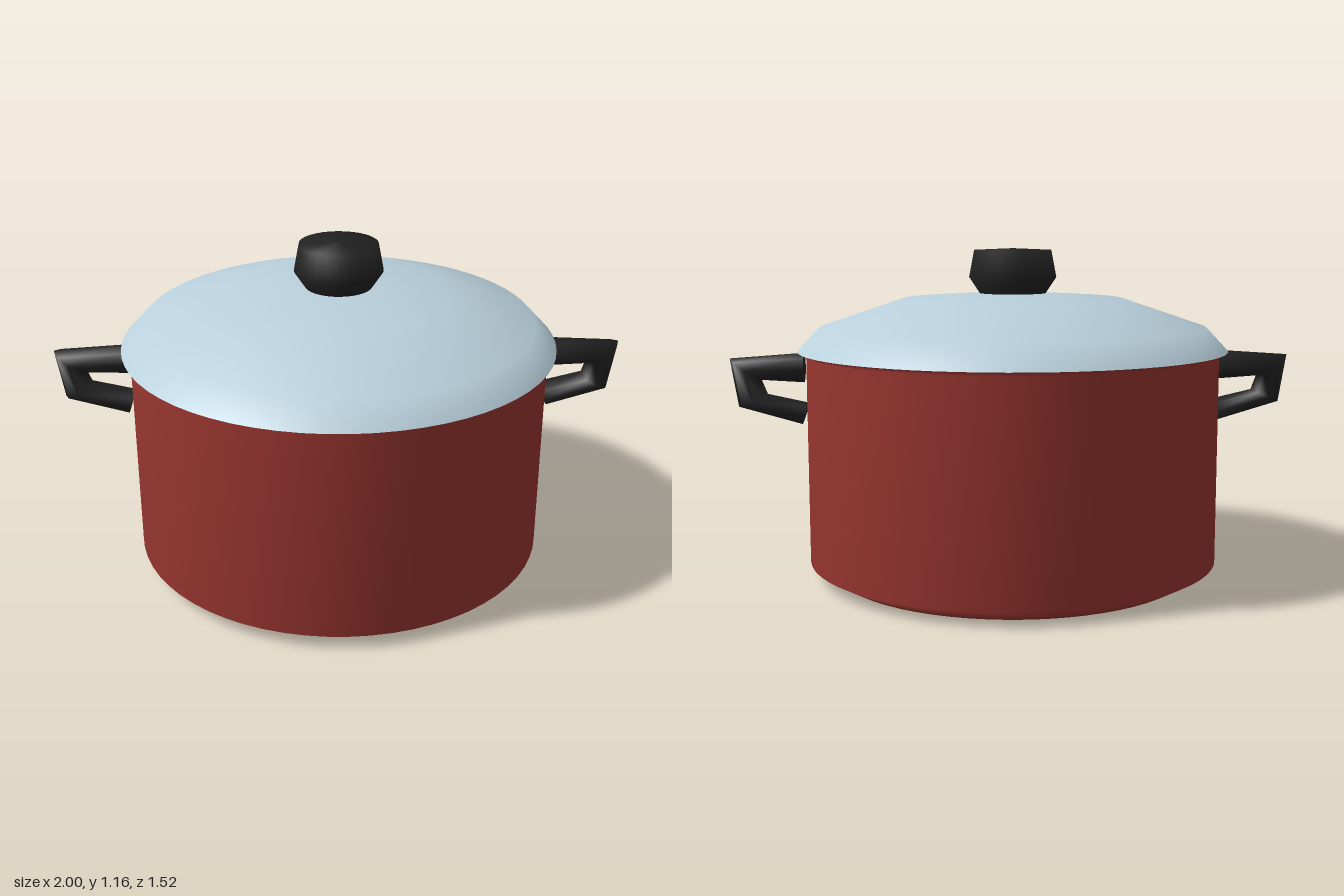
import * as THREE from 'three';

const red = new THREE.MeshStandardMaterial({ color: 0x9c3731 });
red.name = 'red enamel';
const pale = new THREE.MeshStandardMaterial({ color: 0xb9d0dc });
pale.name = 'pale blue metal';
const black = new THREE.MeshStandardMaterial({ color: 0x222222 });
black.name = 'black plastic';

// Round part from [radius, height] pairs, listed from bottom to top
function turned(name, profile, segments, material) {
  const points = profile.map(([r, y]) => new THREE.Vector2(r, y));
  const mesh = new THREE.Mesh(new THREE.LatheGeometry(points, segments), material);
  mesh.name = name;
  return mesh;
}

// Loop handle: oval rings spanning outer and inner edge points, joined in order
function handleGeometry() {
  const stations = [
    [0.74, 0.79, 0.74, 0.685],
    [1.0, 0.772, 0.89, 0.695],
    [0.972, 0.6, 0.87, 0.645],
    [0.75, 0.535, 0.725, 0.612],
  ];
  const sides = 8, halfWidth = 0.06;
  const positions = [], index = [];
  const addRing = ([ox, oy, ix, iy]) => {
    for (let j = 0; j < sides; j++) {
      const a = (j / sides) * Math.PI * 2, c = Math.cos(a) / 2;
      positions.push((ox + ix) / 2 + (ox - ix) * c, (oy + iy) / 2 + (oy - iy) * c, Math.sin(a) * halfWidth);
    }
  };
  stations.forEach(addRing);
  for (let i = 0; i < stations.length - 1; i++) {
    for (let j = 0; j < sides; j++) {
      const k = (j + 1) % sides;
      const a = i * sides + j, b = i * sides + k, c = a + sides, d = b + sides;
      index.push(a, b, c, b, d, c);
    }
  }
  // End caps on their own rings, so the ends stay crisp
  const start = positions.length / 3, end = start + sides;
  addRing(stations[0]);
  addRing(stations[stations.length - 1]);
  for (let j = 1; j < sides - 1; j++) {
    index.push(start, start + j + 1, start + j, end, end + j, end + j + 1);
  }
  const geometry = new THREE.BufferGeometry();
  geometry.setAttribute('position', new THREE.Float32BufferAttribute(positions, 3));
  geometry.setIndex(index);
  geometry.computeVertexNormals();
  return geometry;
}

export function createModel() {
  const group = new THREE.Group();
  group.name = 'cookingPot';

  // Body with bevelled base and flared rim
  group.add(turned('potBody', [[0, 0], [0.64, 0], [0.73, 0.05], [0.73, 0.785], [0.757, 0.802]], 64, red));

  // Domed lid
  group.add(turned('lid', [[0.76, 0.8], [0.685, 0.88], [0.39, 0.98], [0.12, 0.998], [0, 1.0]], 64, pale));

  // Lid knob
  group.add(turned('lidKnob', [[0.115, 0.995], [0.155, 1.055], [0.137, 1.15], [0, 1.156]], 32, black));

  // Side handles
  const geometry = handleGeometry();
  for (const [name, turn] of [['leftHandle', 0], ['rightHandle', Math.PI]]) {
    const handle = new THREE.Mesh(geometry, black);
    handle.name = name;
    handle.rotation.y = turn;
    group.add(handle);
  }
  return group;
}
